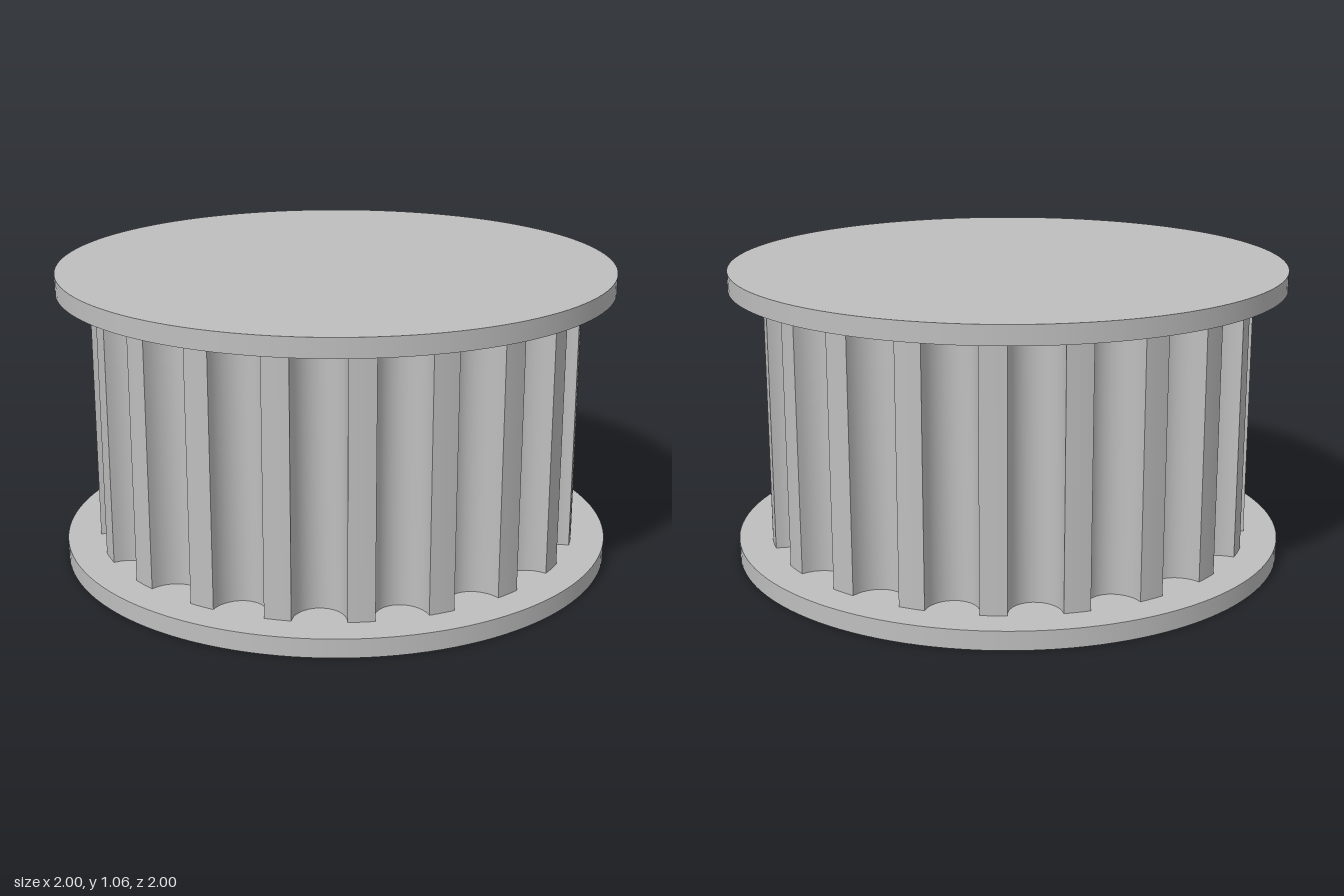
import * as THREE from 'three';
import { toCreasedNormals } from 'three/addons/utils/BufferGeometryUtils.js';

const TEETH = 20, OUTER = 0.88, FLANGE_R = 1, FLANGE_H = 0.067, HEIGHT = 1.064;
const GROOVE_HALF = Math.PI / 30; // half the angle taken by one groove
const GROOVE_DEPTH = 0.105;

// Outline of the toothed drum: rounded grooves between narrow lands
function drumShape() {
  const points = [];
  const pitch = (Math.PI * 2) / TEETH;
  const halfWidth = OUTER * Math.sin(GROOVE_HALF);
  const chord = OUTER * Math.cos(GROOVE_HALF);
  for (let i = 0; i < TEETH; i++) {
    const a = i * pitch, c = Math.cos(a), s = Math.sin(a);
    // hollow of the groove
    for (let k = 0; k <= 14; k++) {
      const t = (k / 14) * Math.PI;
      const r = chord - GROOVE_DEPTH * Math.sin(t);
      const w = -halfWidth * Math.cos(t);
      points.push(new THREE.Vector2(r * c - w * s, r * s + w * c));
    }
    // curved top of the tooth
    for (let k = 1; k < 4; k++) {
      const b = a + GROOVE_HALF + (k / 4) * (pitch - 2 * GROOVE_HALF);
      points.push(new THREE.Vector2(OUTER * Math.cos(b), OUTER * Math.sin(b)));
    }
  }
  return new THREE.Shape(points);
}

export function createModel() {
  const group = new THREE.Group();
  group.name = 'timingPulley';
  const metal = new THREE.MeshStandardMaterial({ color: 0xbfbfbf });
  metal.name = 'greyMetal';

  // Toothed drum between the flanges
  let drumGeometry = new THREE.ExtrudeGeometry(drumShape(), {
    depth: HEIGHT - 2 * FLANGE_H, bevelEnabled: false,
  });
  drumGeometry.rotateX(-Math.PI / 2);
  drumGeometry = toCreasedNormals(drumGeometry, Math.PI / 5);
  const drum = new THREE.Mesh(drumGeometry, metal);
  drum.name = 'toothedDrum';
  drum.position.y = FLANGE_H;
  group.add(drum);

  // Flanges
  const flangeGeometry = new THREE.CylinderGeometry(FLANGE_R, FLANGE_R, FLANGE_H, 128);
  for (const [name, y] of [['bottomFlange', FLANGE_H / 2], ['topFlange', HEIGHT - FLANGE_H / 2]]) {
    const flange = new THREE.Mesh(flangeGeometry, metal);
    flange.name = name;
    flange.position.y = y;
    group.add(flange);
  }
  return group;
}
